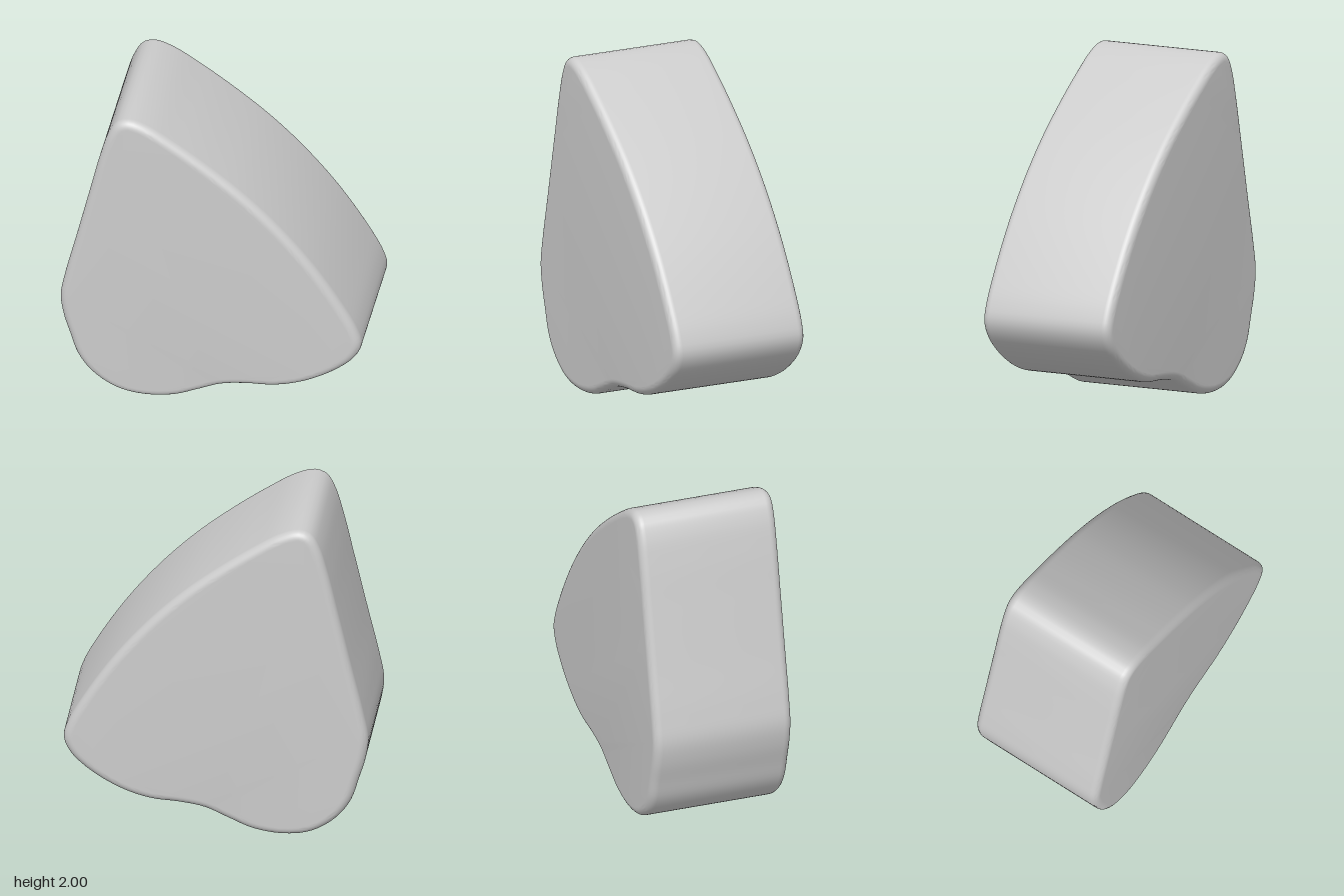
import * as THREE from 'three';
import { toCreasedNormals } from 'three/addons/utils/BufferGeometryUtils.js';

// Silhouette control points, counter-clockwise from the top
const OUTLINE = [
  [-0.49, 2.0], [-0.56, 1.975], [-0.61, 1.89], [-0.66, 1.72], [-0.72, 1.46],
  [-0.80, 1.11], [-0.87, 0.81], [-0.895, 0.66], [-0.88, 0.53], [-0.84, 0.39],
  [-0.79, 0.24], [-0.70, 0.12], [-0.56, 0.03], [-0.40, 0.003], [-0.22, 0.027],
  [-0.07, 0.09], [0.06, 0.147], [0.20, 0.172], [0.38, 0.187], [0.55, 0.24],
  [0.73, 0.345], [0.85, 0.46], [0.89, 0.56], [0.865, 0.66], [0.77, 0.84],
  [0.60, 1.10], [0.40, 1.345], [0.20, 1.545], [0.0, 1.71], [-0.20, 1.855], [-0.38, 1.967],
];

export function createModel() {
  const group = new THREE.Group();
  group.name = 'roundedPebbleBlock';

  // Smooth closed curve through the outline
  const curve = new THREE.CatmullRomCurve3(
    OUTLINE.map(([x, y]) => new THREE.Vector3(x, y, 0)), true, 'centripetal');
  const points = curve.getSpacedPoints(180).slice(0, -1);
  const shape = new THREE.Shape(points.map((p) => new THREE.Vector2(p.x, p.y)));

  // Thick slab with rounded rims, kept inside the silhouette
  const halfDepth = 0.425;
  const bevel = 0.05;
  const slab = new THREE.ExtrudeGeometry(shape, {
    depth: 2 * (halfDepth - bevel),
    bevelEnabled: true,
    bevelSize: bevel,
    bevelThickness: bevel,
    bevelOffset: -bevel,
    bevelSegments: 8,
  });
  slab.translate(0, 0, -(halfDepth - bevel));

  const body = new THREE.Mesh(
    toCreasedNormals(slab, 0.6),
    new THREE.MeshStandardMaterial({ color: 0xcccccc }));
  body.name = 'body';
  group.add(body);
  return group;
}
